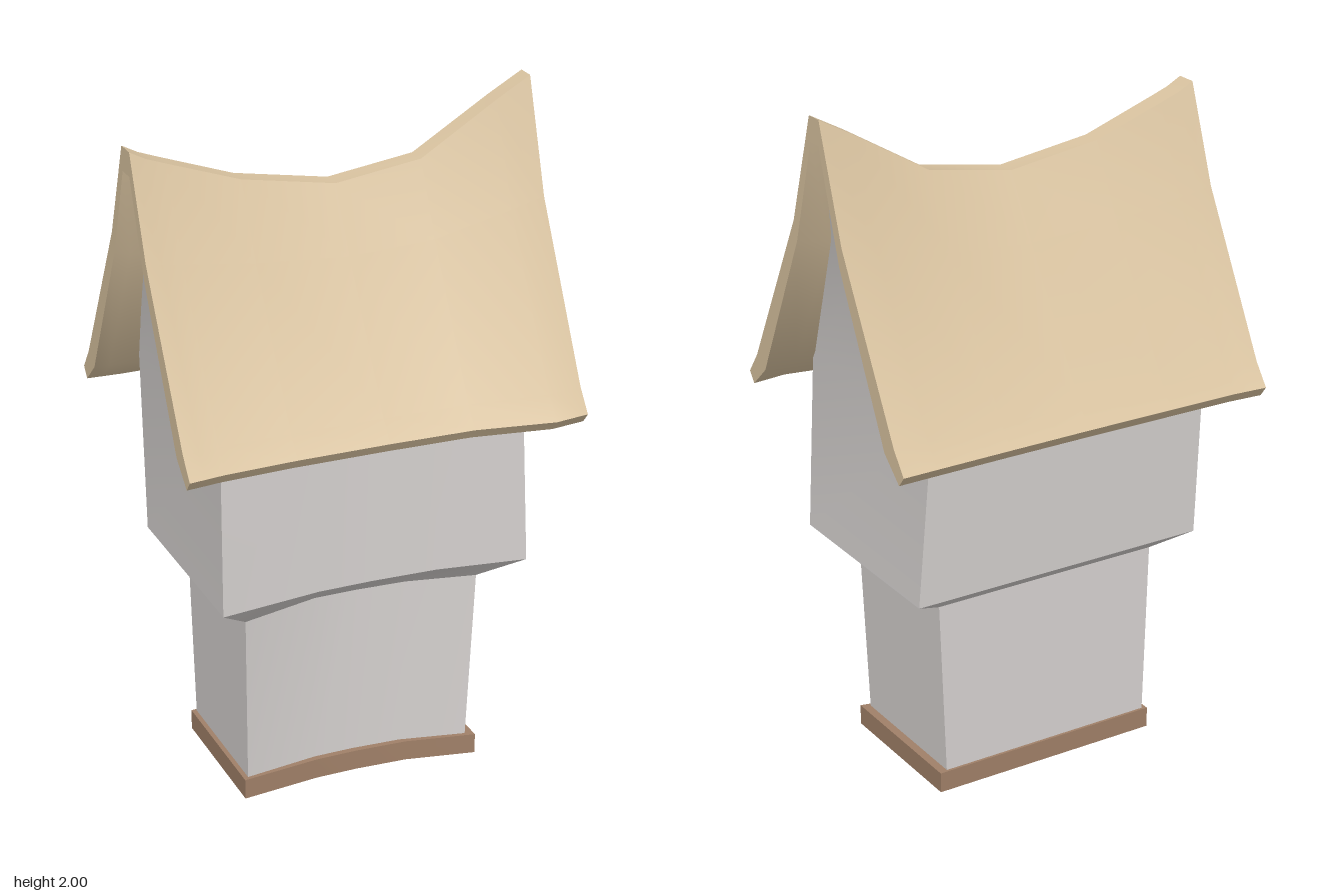
import * as THREE from 'three';
import { mergeGeometries, toCreasedNormals } from 'three/addons/utils/BufferGeometryUtils.js';

const wallMat = new THREE.MeshStandardMaterial({ color: 0xd6d2d0, side: THREE.DoubleSide });
const roofMat = new THREE.MeshStandardMaterial({ color: 0xd9c3a0 });
const trimMat = new THREE.MeshStandardMaterial({ color: 0xa08068 });

// Roof stations: x, ridge height, ridge front/back z, eave front/back z
const STATIONS = [
  [-0.585, 1.93, 0.0, -0.06, 0.393, -0.45],
  [-0.54, 1.906, 0.0, -0.06, 0.389, -0.446],
  [-0.48, 1.884, 0.001, -0.058, 0.383, -0.441],
  [-0.27, 1.81, 0.003, -0.053, 0.38, -0.438],
  [0.0, 1.765, 0.02, -0.037, 0.387, -0.435],
  [0.25, 1.805, 0.035, -0.022, 0.4, -0.435],
  [0.48, 1.943, 0.032, -0.022, 0.445, -0.436],
  [0.583, 2.0, 0.03, -0.022, 0.433, -0.437],
];
const LOWEST_RIDGE = 1.765;

// Roof section: [distance from ridge to eave, height at the lowest ridge, share of the ridge's rise]
const OUTER = [[0, 1.765, 1], [0.26, 1.585, 0.4], [0.88, 1.195, 0.03], [1, 1.137, 0]];
const INNER = [[-0.01, 1.7, 0.97], [0.22, 1.53, 0.4], [0.76, 1.165, 0.03], [0.94, 1.106, 0]];

// Bow of the front walls: [position along the length, z offset]
const BOW = [[-0.35, -0.06], [0, -0.058], [0.43, -0.046], [1, 0]];

// Quad surface through rows of points
function surface(rows, closed = false) {
  const n = rows[0].length;
  const index = [];
  for (let i = 0; i < rows.length - 1; i++) {
    for (let j = 0; j < (closed ? n : n - 1); j++) {
      const k = (j + 1) % n;
      const a = i * n + j, b = i * n + k, c = (i + 1) * n + k, d = (i + 1) * n + j;
      index.push(a, b, c, a, c, d);
    }
  }
  const geo = new THREE.BufferGeometry();
  geo.setAttribute('position', new THREE.Float32BufferAttribute(rows.flat(2), 3));
  geo.setIndex(index);
  return geo;
}

function addMesh(group, name, parts, material) {
  const mesh = new THREE.Mesh(toCreasedNormals(mergeGeometries(parts), 0.6), material);
  mesh.name = name;
  group.add(mesh);
}

// Wall outline, counter-clockwise from above: bowed front (corner offset first), straight back
function outline(y, x0, x1, zf, zb, corner) {
  const front = [[-1, corner], ...BOW].map(([u, dz]) =>
    [x0 + (x1 - x0) * (u + 1) / 2, y, zf + dz]);
  return [...front, [x1, y, zb], [x0, y, zb]];
}

function roofSection([x, top, ridgeF, ridgeB, eaveF, eaveB], profile) {
  const side = (ridge, eave) => profile.map(([t, y, k]) =>
    [x, y + k * (top - LOWEST_RIDGE), ridge + (eave - ridge) * t]);
  return [...side(ridgeB, eaveB).reverse(), ...side(ridgeF, eaveF)];
}

export function createModel() {
  const group = new THREE.Group();

  // Thin hollow base trim
  const toShape = (p) => new THREE.Vector2(p[0], -p[2]);
  const shape = new THREE.Shape(outline(0, -0.37, 0.348, 0.255, -0.213, -0.04).map(toShape));
  shape.holes.push(new THREE.Path(outline(0, -0.352, 0.32, 0.234, -0.202, -0.04).map(toShape)));
  const trim = new THREE.ExtrudeGeometry(shape, { depth: 0.062, bevelEnabled: false });
  trim.rotateX(-Math.PI / 2);
  addMesh(group, 'baseTrim', [trim], trimMat);

  // Lower storey and flared belt
  const lowerFoot = outline(0.06, -0.356, 0.323, 0.237, -0.205, -0.035);
  const lowerTop = outline(0.593, -0.37, 0.343, 0.246, -0.205, -0.01);
  const upperFoot = outline(0.66, -0.461, 0.46, 0.33, -0.296, -0.03);
  const upperTop = outline(1.2, -0.461, 0.43, 0.335, -0.323, -0.035);
  addMesh(group, 'lowerWalls', [surface([lowerFoot, lowerTop], true)], wallMat);
  addMesh(group, 'flaredBelt', [surface([lowerTop, upperFoot], true)], wallMat);

  // Upper storey with gable ends leaning outwards to the ridge
  const n = BOW.length;
  const leftGable = surface([
    [upperTop[n], upperTop[n + 1]],
    [[0.48, 1.62, 0.12], [0.48, 1.62, -0.115]],
    [[0.545, 1.915, 0.029], [0.545, 1.915, -0.021]],
  ]);
  const rightGable = surface([
    [upperTop[n + 2], upperTop[0]],
    [[-0.5, 1.59, -0.148], [-0.5, 1.59, 0.088]],
    [[-0.55, 1.845, -0.06], [-0.55, 1.845, 0]],
  ]);
  addMesh(group, 'upperWalls',
    [surface([upperFoot, upperTop], true), leftGable, rightGable], wallMat);

  // Sagging roof shell with closed ends
  const outer = STATIONS.map((s) => roofSection(s, OUTER));
  const inner = STATIONS.map((s) => roofSection(s, INNER));
  const shell = outer.map((o, i) => [...o, ...[...inner[i]].reverse()]);
  addMesh(group, 'roof', [
    surface(shell, true),
    surface([outer.at(-1), inner.at(-1)]),
    surface([inner[0], outer[0]]),
  ], roofMat);

  return group;
}
